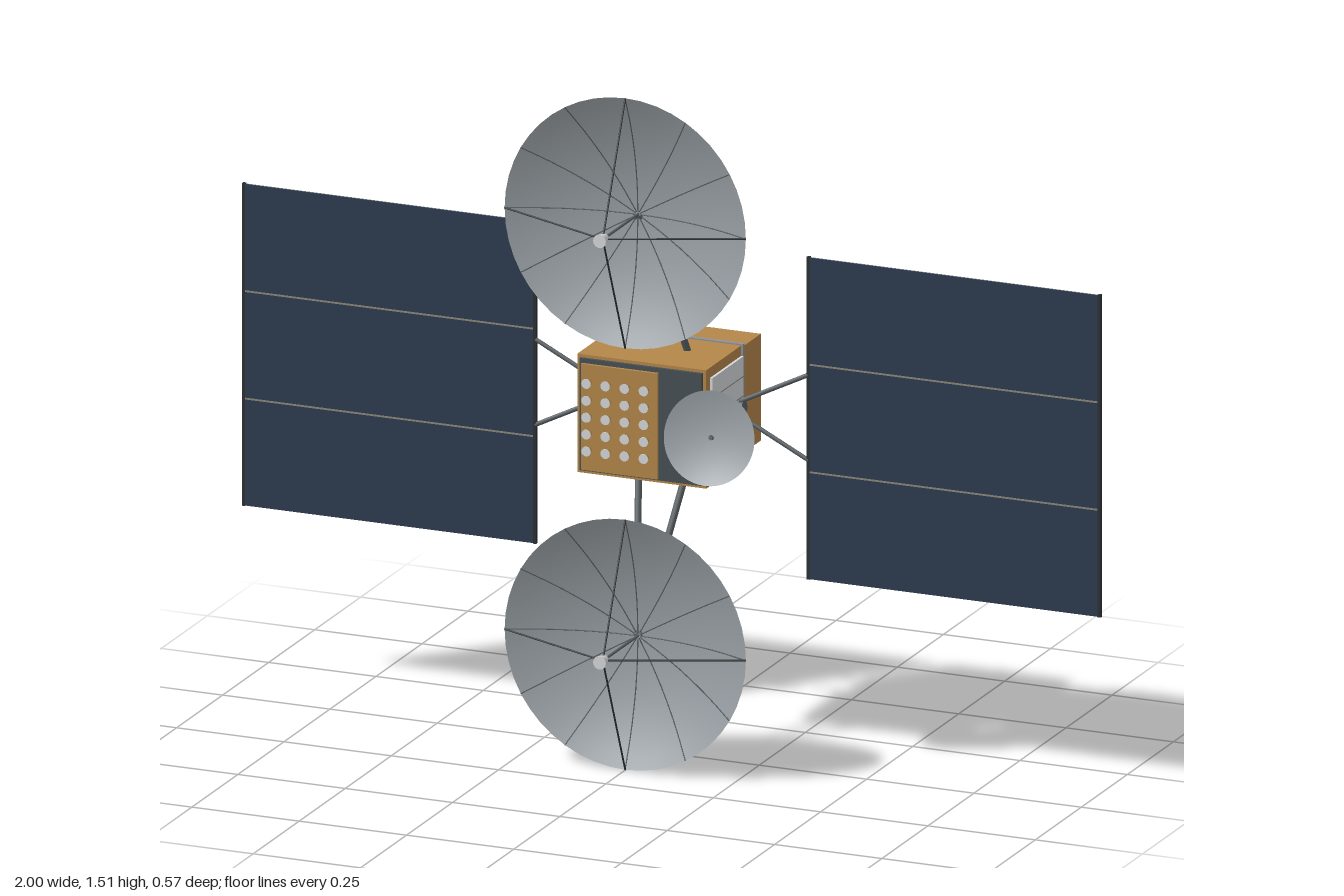
import * as THREE from 'three';

const mat = (name, color, side = THREE.FrontSide) => {
  const m = new THREE.MeshStandardMaterial({ color, side });
  m.name = name;
  return m;
};

export function createModel() {
  const gold = mat('gold foil', 0xb5874a);
  const navy = mat('solar cell navy', 0x2d3c50);
  const dishGrey = mat('dish grey', 0x9aa1a6, THREE.DoubleSide);
  const backGrey = mat('panel back grey', 0x868b8e);
  const dark = mat('dark trim', 0x2b3032);
  const strutGrey = mat('strut grey', 0x596064);
  const white = mat('radiator white', 0xd6d8da);
  const ringGrey = mat('ring grey', 0x8e9399);
  const slate = mat('slate plate', 0x465054);
  const tan = mat('cell seam tan', 0x8d8878);

  const root = new THREE.Group();
  root.name = 'satellite';
  const V = (x, y, z) => new THREE.Vector3(x, y, z);

  function add(parent, name, geometry, material, x = 0, y = 0, z = 0) {
    const m = new THREE.Mesh(geometry, material);
    m.name = name;
    m.position.set(x, y, z);
    parent.add(m);
    return m;
  }
  // Box given by its two opposite corners
  function box(parent, name, material, x0, x1, y0, y1, z0, z1) {
    return add(parent, name, new THREE.BoxGeometry(x1 - x0, y1 - y0, z1 - z0), material,
      (x0 + x1) / 2, (y0 + y1) / 2, (z0 + z1) / 2);
  }
  // Round rod between two points
  function rod(parent, name, material, a, b, r, r2 = r, sides = 8) {
    const m = add(parent, name, new THREE.CylinderGeometry(r2, r, a.distanceTo(b), sides), material);
    m.position.copy(a).lerp(b, 0.5);
    m.quaternion.setFromUnitVectors(V(0, 1, 0), b.clone().sub(a).normalize());
    return m;
  }
  // Parabolic bowl opening to +z with its vertex at the origin
  function bowl(parent, name, radius, depth) {
    const pts = [];
    for (let i = 0; i <= 12; i++) {
      const t = i / 12;
      pts.push(new THREE.Vector2(radius * t, depth * t * t));
    }
    const g = new THREE.LatheGeometry(pts, 48);
    g.rotateX(Math.PI / 2);
    return add(parent, name, g, dishGrey);
  }

  // Body
  const body = new THREE.Group();
  body.name = 'body';
  root.add(body);
  const cy = 0.76;
  box(body, 'frontModule', gold, -0.15, 0.15, 0.627, 0.893, -0.14, 0.055);
  box(body, 'rearModule', gold, -0.14, 0.14, 0.64, 0.88, -0.265, -0.14);
  box(body, 'collar', ringGrey, -0.154, 0.154, 0.624, 0.896, -0.145, -0.135);
  box(body, 'frontPlate', slate, -0.142, 0.142, 0.634, 0.886, 0.055, 0.062);

  // Antenna panel with horn array
  box(body, 'hornPanel', gold, -0.136, 0.042, 0.638, 0.876, 0.062, 0.069);
  const hornGeo = new THREE.CylinderGeometry(0.0115, 0.008, 0.01, 16).rotateX(Math.PI / 2);
  const capGeo = new THREE.CylinderGeometry(0.011, 0.011, 0.002, 16).rotateX(Math.PI / 2);
  for (let c = 0; c < 4; c++) {
    for (let r = 0; r < 5; r++) {
      const x = -0.119 + c * 0.0445, y = cy + (r - 2) * 0.038;
      add(body, 'horn', hornGeo, gold, x, y, 0.074);
      add(body, 'hornMouth', capGeo, white, x, y, 0.08);
    }
  }

  // Rear engine ring
  const ringShape = new THREE.Shape();
  ringShape.absarc(0, 0, 0.1, 0, Math.PI * 2);
  const hole = new THREE.Path();
  hole.absarc(0, 0, 0.066, 0, Math.PI * 2, true);
  ringShape.holes.push(hole);
  add(body, 'rearRing', new THREE.ExtrudeGeometry(ringShape, { depth: 0.018, bevelEnabled: false, curveSegments: 24 }),
    ringGrey, 0, cy, -0.283);

  // Radiators, hinges, yokes and solar wings on both sides
  for (const s of [1, -1]) {
    const side = new THREE.Group();
    side.name = s > 0 ? 'leftWing' : 'rightWing';
    root.add(side);
    const sbox = (name, m, x0, x1, ...rest) =>
      box(side, name, m, Math.min(s * x0, s * x1), Math.max(s * x0, s * x1), ...rest);
    sbox('radiator', white, 0.15, 0.156, 0.65, 0.87, -0.134, 0.035);
    for (let i = 1; i < 5; i++) {
      const y = 0.65 + i * 0.044;
      sbox('radiatorSeam', ringGrey, 0.156, 0.157, y - 0.0015, y + 0.0015, -0.134, 0.035);
    }
    const z = -0.109;
    rod(side, 'hinge', strutGrey, V(s * 0.15, cy, z), V(s * 0.168, cy, z), 0.018, 0.018, 16);
    rod(side, 'hingeBar', strutGrey, V(s * 0.163, cy - 0.02, z), V(s * 0.163, cy + 0.02, z), 0.007);
    for (const k of [1, -1]) {
      rod(side, 'yokeArm', strutGrey, V(s * 0.16, cy + k * 0.017, z), V(s * 0.318, cy + k * 0.096, z), 0.005);
    }

    // Three cell panels with a grey rear face
    for (let i = 0; i < 3; i++) {
      const y0 = 0.398 + i * 0.2415, y1 = y0 + 0.239;
      sbox('cellFace', navy, 0.32, 0.995, y0, y1, z, z + 0.003);
      sbox('panelBack', backGrey, 0.32, 0.995, y0, y1, z - 0.003, z);
      if (i) {
        sbox('seam', tan, 0.32, 0.995, y0 - 0.003, y0 + 0.001, z, z + 0.0035);
        sbox('rearSeam', dark, 0.32, 0.995, y0 - 0.006, y0 + 0.004, z - 0.004, z);
      }
      // Dashed stitching along the rear
      for (const y of [y0 + 0.045, y1 - 0.045]) {
        for (let d = 0; d < 24; d++) {
          const x = 0.325 + d * 0.028;
          sbox('rearStitch', dark, x, x + 0.015, y - 0.0013, y + 0.0013, z - 0.0036, z - 0.003);
        }
      }
    }
    for (const x of [0.315, 0.993]) sbox('wingEdge', dark, x, x + 0.007, 0.397, 1.122, z - 0.004, z + 0.004);
  }

  // Large dishes above and below the body
  const R = 0.281, D = 0.07;
  for (const s of [1, -1]) {
    const dish = new THREE.Group();
    dish.name = s > 0 ? 'upperDish' : 'lowerDish';
    dish.position.set(0, s > 0 ? 1.231 : 0.284, 0.075);
    root.add(dish);
    bowl(dish, 'reflector', R, D);
    for (let i = 0; i < 12; i++) {
      const a = i * Math.PI / 6, c = Math.cos(a), n = Math.sin(a);
      const at = (t, off) => V(c * R * t, n * R * t, D * t * t + off);
      const curve = new THREE.CatmullRomCurve3([0.02, 0.25, 0.5, 0.75, 1].map(t => at(t, 0.0012)));
      add(dish, 'rib', new THREE.TubeGeometry(curve, 12, 0.0013, 5), strutGrey);
      for (const t of [0.4, 0.66]) rod(dish, 'rearTick', dark, at(t, -0.001), at(t + 0.045, -0.001), 0.0015, 0.0015, 5);
      // Feed struts on the four main directions
      if (i % 3 === 0) rod(dish, 'feedStrut', dark, at(1, 0), V(0, 0, 0.192), 0.002, 0.002, 6);
    }
    rod(dish, 'feedMast', strutGrey, V(0, 0, 0), V(0, 0, 0.19), 0.003);
    rod(dish, 'feed', white, V(0, 0, 0.182), V(0, 0, 0.21), 0.01, 0.015, 16);
    for (const k of [1, -1]) {
      rod(root, 'dishBoom', strutGrey, V(k * 0.058, cy + s * 0.125, -0.063), V(k * 0.004, dish.position.y, 0.072), 0.008);
    }
  }

  // Small steerable dish at the front left
  const small = new THREE.Group();
  small.name = 'smallDish';
  small.position.set(0.184, 0.76, 0.104);
  small.rotation.set(-0.23, 0.06, 0);
  root.add(small);
  bowl(small, 'smallReflector', 0.103, 0.017);
  rod(small, 'smallHub', strutGrey, V(0, 0, -0.006), V(0, 0, 0.008), 0.005);
  rod(root, 'smallDishArm', strutGrey, V(0.115, 0.757, 0.055), V(0.184, 0.76, 0.101), 0.007);

  return root;
}
